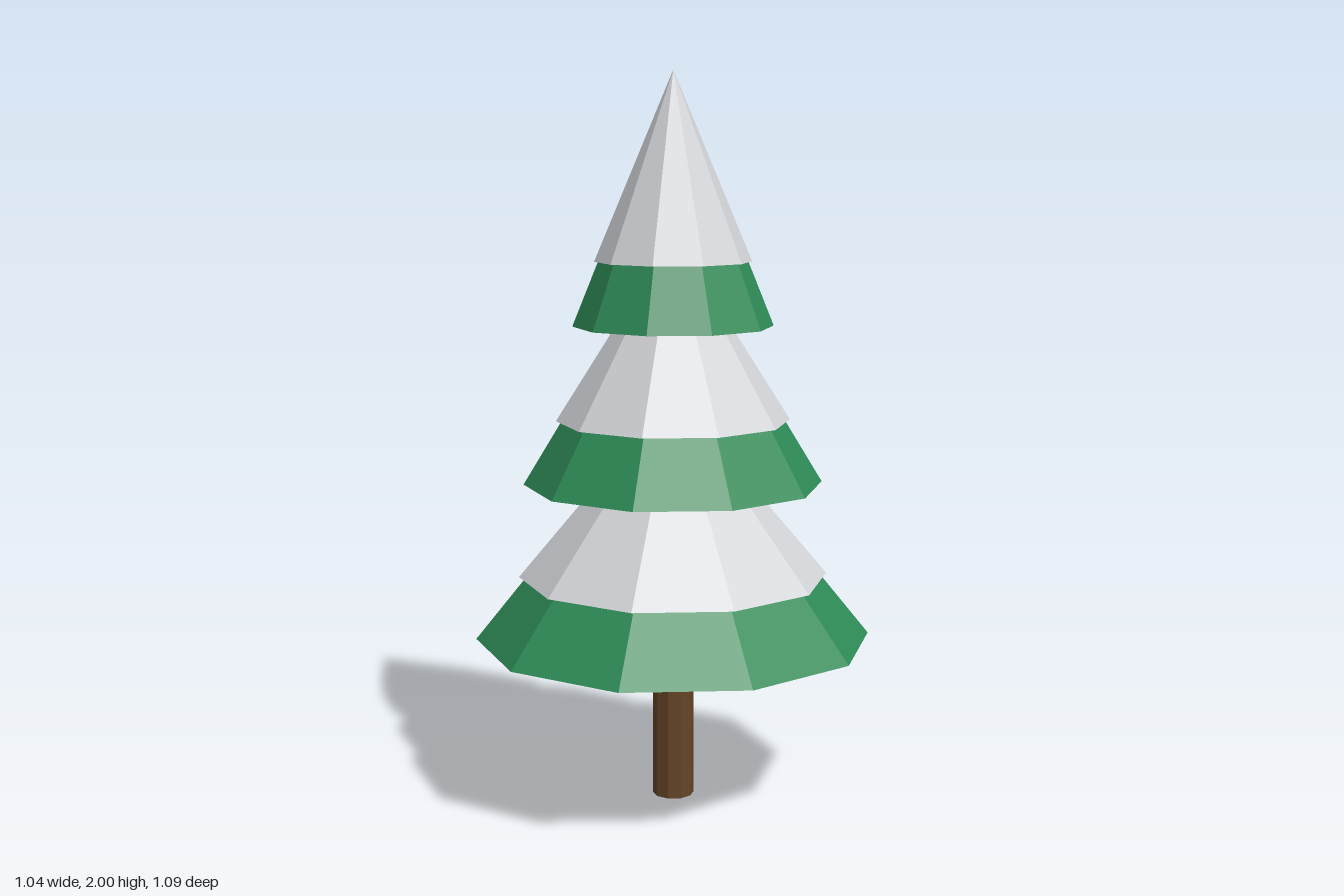
import * as THREE from 'three';

const SIDES = 10;

export function createModel() {
  const paint = (name, color) => {
    const m = new THREE.MeshStandardMaterial({ color, flatShading: true });
    m.name = name;
    return m;
  };
  const green = paint('needle green', 0x2e8b57);
  const snow = paint('snow grey', 0xd3d5d9);
  const brown = paint('bark brown', 0x654528);

  const tree = new THREE.Group();
  tree.name = 'snowyTree';

  const add = (name, geometry, material, y, parent) => {
    const mesh = new THREE.Mesh(geometry, material);
    mesh.name = name;
    mesh.position.y = y;
    parent.add(mesh);
  };

  // Trunk, ending a little below the lowest branches
  add('trunk', new THREE.CylinderGeometry(0.057, 0.057, 0.392, SIDES), brown, 0.196, tree);

  // Three tiers: a closed green cone with a slightly wider snow cone over its top
  const tiers = [
    { name: 'lowerTier', apex: 1.135, branch: 0.546, cap: 0.426 },
    { name: 'middleTier', apex: 1.568, branch: 0.41, cap: 0.32 },
    { name: 'topTier', apex: 2.0, branch: 0.273, cap: 0.213 },
  ];
  const branchHeight = 0.68;
  const capHeight = 0.506;
  for (const t of tiers) {
    const tier = new THREE.Group();
    tier.name = t.name;
    tree.add(tier);
    // The branch tip sits just inside the snow
    const h = branchHeight - 0.004;
    add('branches', new THREE.ConeGeometry(t.branch, h, SIDES), green, t.apex - branchHeight + h / 2, tier);
    add('snowCap', new THREE.ConeGeometry(t.cap, capHeight, SIDES), snow, t.apex - capHeight / 2, tier);
  }
  return tree;
}
